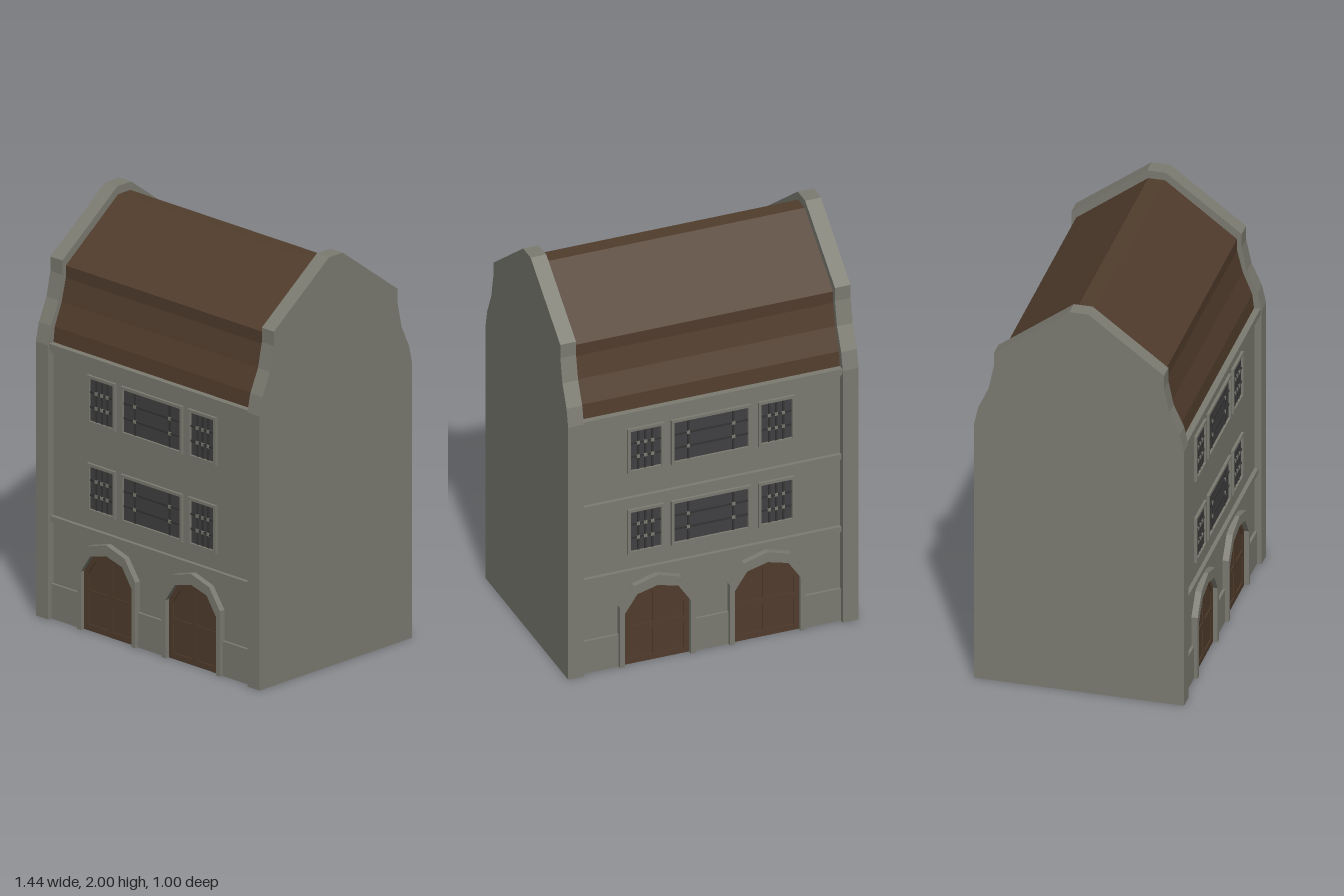
import * as THREE from 'three';

const mat = (name, color) => Object.assign(new THREE.MeshStandardMaterial({ color }), { name });

// Closed half profile mirrored about the vertical axis
function mirrored(half) {
  const other = half.map(([u, v]) => [-u, v]).reverse();
  return [...half, ...other].map(([u, v]) => new THREE.Vector2(u, v));
}

export function createModel() {
  const stone = mat('stone', 0x7b7b71);
  const wood = mat('brown wood', 0x503c2c);
  const glass = mat('dark glass', 0x404042);
  const lead = mat('window lead', 0x343434);
  const model = new THREE.Group();
  model.name = 'house';

  function add(parent, name, geometry, material) {
    const mesh = new THREE.Mesh(geometry, material);
    mesh.name = name;
    parent.add(mesh);
    return mesh;
  }
  // Box given by its limits
  function box(parent, name, material, x0, x1, y0, y1, z0, z1) {
    const m = add(parent, name, new THREE.BoxGeometry(x1 - x0, y1 - y0, z1 - z0), material);
    m.position.set((x0 + x1) / 2, (y0 + y1) / 2, (z0 + z1) / 2);
    return m;
  }
  // Side profile extruded along x, centred on cx
  function prism(name, half, width, cx, material) {
    const geo = new THREE.ExtrudeGeometry(new THREE.Shape(mirrored(half)), { depth: width, bevelEnabled: false });
    geo.translate(0, 0, -width / 2).rotateY(Math.PI / 2).translate(cx, 0, 0);
    return add(model, name, geo, material);
  }

  // Main walls, roof and the two gable walls
  box(model, 'walls', stone, -0.645, 0.645, 0, 1.34, -0.465, 0.465);
  prism('roof', [[0.465, 1.335], [0.455, 1.42], [0.41, 1.53], [0.383, 1.64], [0.383, 1.7], [0.04, 1.96]], 1.29, 0, wood);
  const gable = [[0.5, 0], [0.5, 1.34], [0.48, 1.43], [0.43, 1.54], [0.405, 1.66], [0.405, 1.73], [0.045, 2]];
  for (const s of [1, -1]) prism(s > 0 ? 'leftGable' : 'rightGable', gable, 0.078, s * 0.682, stone);

  // Door arches as polygons about the door's centre line
  const outer = [[0.188, 0], [0.188, 0.32], [0.118, 0.42], [0, 0.455], [-0.118, 0.42], [-0.188, 0.32], [-0.188, 0]];
  const inner = [[0.163, 0], [0.163, 0.285], [0.102, 0.375], [0, 0.402], [-0.102, 0.375], [-0.163, 0.285], [-0.163, 0]];
  const points = (list) => list.map(([x, y]) => new THREE.Vector2(x, y));
  const extrude = (shape, depth, z) =>
    new THREE.ExtrudeGeometry(shape, { depth, bevelEnabled: false }).translate(0, 0, z);

  function door(parent, cx) {
    const g = new THREE.Group();
    g.name = 'door';
    g.position.x = cx;
    parent.add(g);
    add(g, 'doorSurround', extrude(new THREE.Shape(points([...outer, ...inner.slice().reverse()])), 0.035, 0.46), stone);
    add(g, 'doorPanel', extrude(new THREE.Shape(points(inner)), 0.008, 0.46), wood);
    // Raised rails and stiles leave four sunken panels
    const rails = new THREE.Shape(points(inner));
    for (const s of [1, -1]) {
      rails.holes.push(new THREE.Path(points([[s * 0.015, 0.03], [s * 0.135, 0.03], [s * 0.135, 0.17], [s * 0.015, 0.17]])));
      rails.holes.push(new THREE.Path(points(
        [[s * 0.015, 0.2], [s * 0.135, 0.2], [s * 0.135, 0.28], [s * 0.09, 0.345], [s * 0.015, 0.365]])));
    }
    add(g, 'doorRails', extrude(rails, 0.005, 0.468), wood);
  }

  // Window with a stone frame and leaded bars
  function windowAt(parent, cx, cy, w, bars) {
    const g = new THREE.Group();
    g.name = 'window';
    g.position.set(cx, cy, 0);
    parent.add(g);
    const h = 0.236, t = 0.014;
    const rect = (a, b) => points([[-a, -b], [a, -b], [a, b], [-a, b]]);
    const frame = new THREE.Shape(rect(w / 2, h / 2));
    frame.holes.push(new THREE.Path(rect(w / 2 - t, h / 2 - t)));
    add(g, 'windowFrame', extrude(frame, 0.015, 0.463), stone);
    const iw = w / 2 - t, ih = h / 2 - t;
    box(g, 'glass', glass, -iw, iw, -ih, ih, 0.462, 0.467);
    const rows = [-0.036, 0.036];
    for (const y of rows) box(g, 'crossBar', lead, -iw, iw, y - 0.005, y + 0.005, 0.466, 0.471);
    for (const x of bars) {
      box(g, 'uprightBar', lead, x - 0.005, x + 0.005, -ih, ih, 0.466, 0.4705);
      for (const y of rows) box(g, 'barKnot', stone, x - 0.008, x + 0.008, y - 0.008, y + 0.008, 0.466, 0.473);
    }
  }

  function facade(name, middleLedge) {
    const g = new THREE.Group();
    g.name = name;
    model.add(g);
    box(g, 'corniceLower', stone, -0.645, 0.645, 1.3, 1.316, 0.45, 0.48);
    box(g, 'corniceUpper', stone, -0.645, 0.645, 1.316, 1.347, 0.44, 0.494);
    const ledges = middleLedge ? [0.475, 0.86] : [0.475];
    for (const y of ledges) box(g, 'ledge', stone, -0.645, 0.645, y, y + 0.027, 0.45, 0.484);
    // Low plinth between the doors and gables
    for (const [a, b] of [[-0.645, -0.455], [-0.09, 0.09], [0.455, 0.645]])
      box(g, 'plinth', stone, a, b, 0, 0.17, 0.45, 0.478);
    for (const s of [1, -1]) door(g, s * 0.273);
    for (const y of [0.7, 1.13]) {
      windowAt(g, 0, y, 0.395, [-0.112, 0.112]);
      for (const s of [1, -1]) windowAt(g, s * 0.325, y, 0.18, [-0.035, 0.0, 0.035]);
    }
    return g;
  }
  facade('frontFacade', false);
  facade('backFacade', true).rotation.y = Math.PI;

  return model;
}
